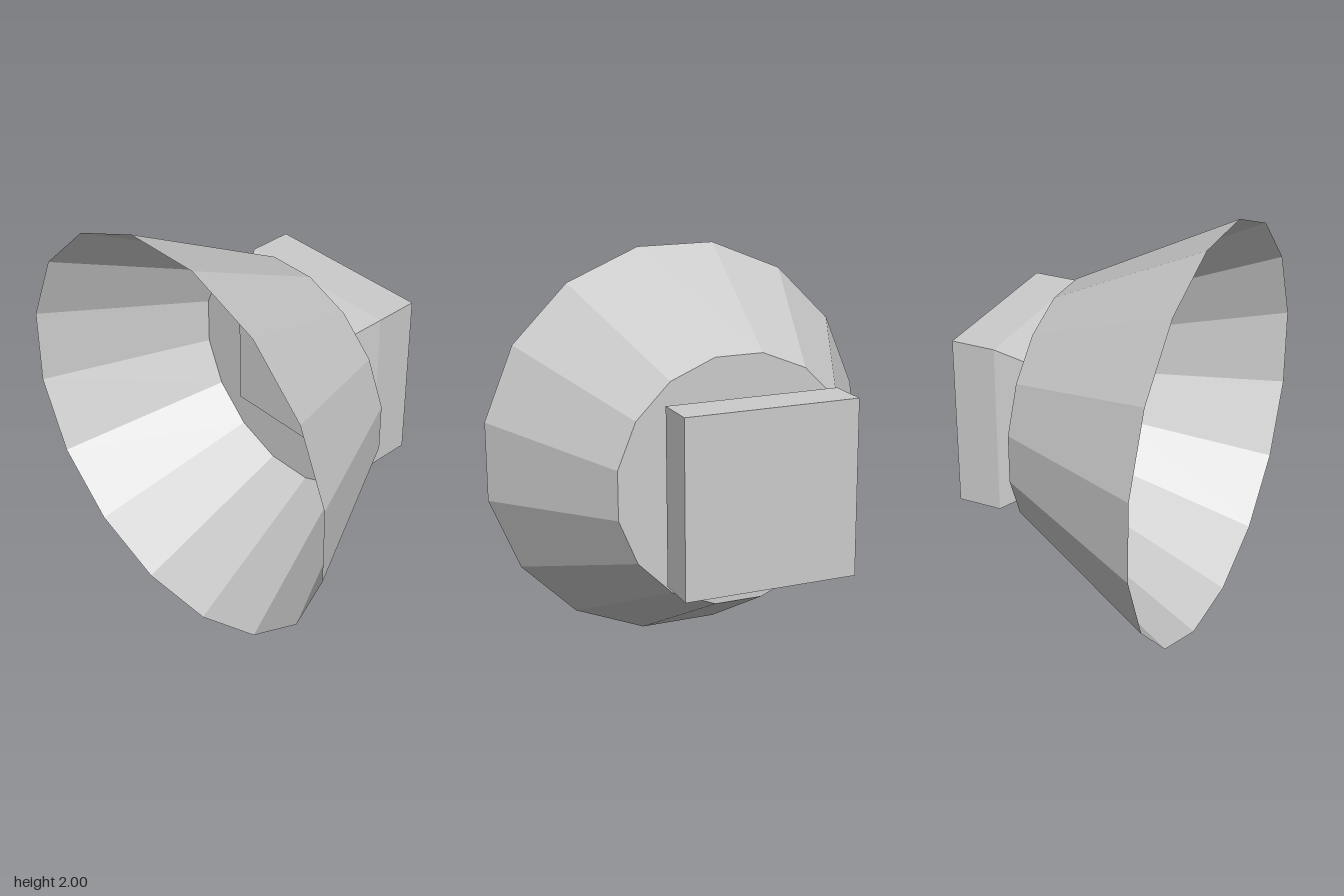
import * as THREE from 'three';

// Regular prism-like solid around the z axis; profile is [apothem, z] from back to front
function facetedLathe(name, sides, profile, side) {
  const k = 1 / Math.cos(Math.PI / sides);
  const points = profile.map(([r, z]) => new THREE.Vector2(r * k, z));
  const geometry = new THREE.LatheGeometry(points, sides, Math.PI / sides);
  geometry.rotateX(Math.PI / 2);
  const material = new THREE.MeshStandardMaterial({ color: 0xcccccc, flatShading: true, side });
  const mesh = new THREE.Mesh(geometry, material);
  mesh.name = name;
  return mesh;
}

export function createModel() {
  const model = new THREE.Group();
  model.name = 'flaredHorn';

  // Open, thin-walled flare with a flat back plate
  const flare = facetedLathe('flare', 16, [[0, -0.2], [0.6, -0.2], [1, 0.57]], THREE.DoubleSide);
  flare.position.y = 1;

  // Square housing tapering forward through the back plate
  const housing = facetedLathe('housing', 4, [
    [0, -0.57], [0.425, -0.57], [0.425, -0.355], [0.307, -0.147], [0, -0.147],
  ], THREE.FrontSide);
  housing.position.y = 1.015;

  model.add(flare, housing);
  return model;
}
